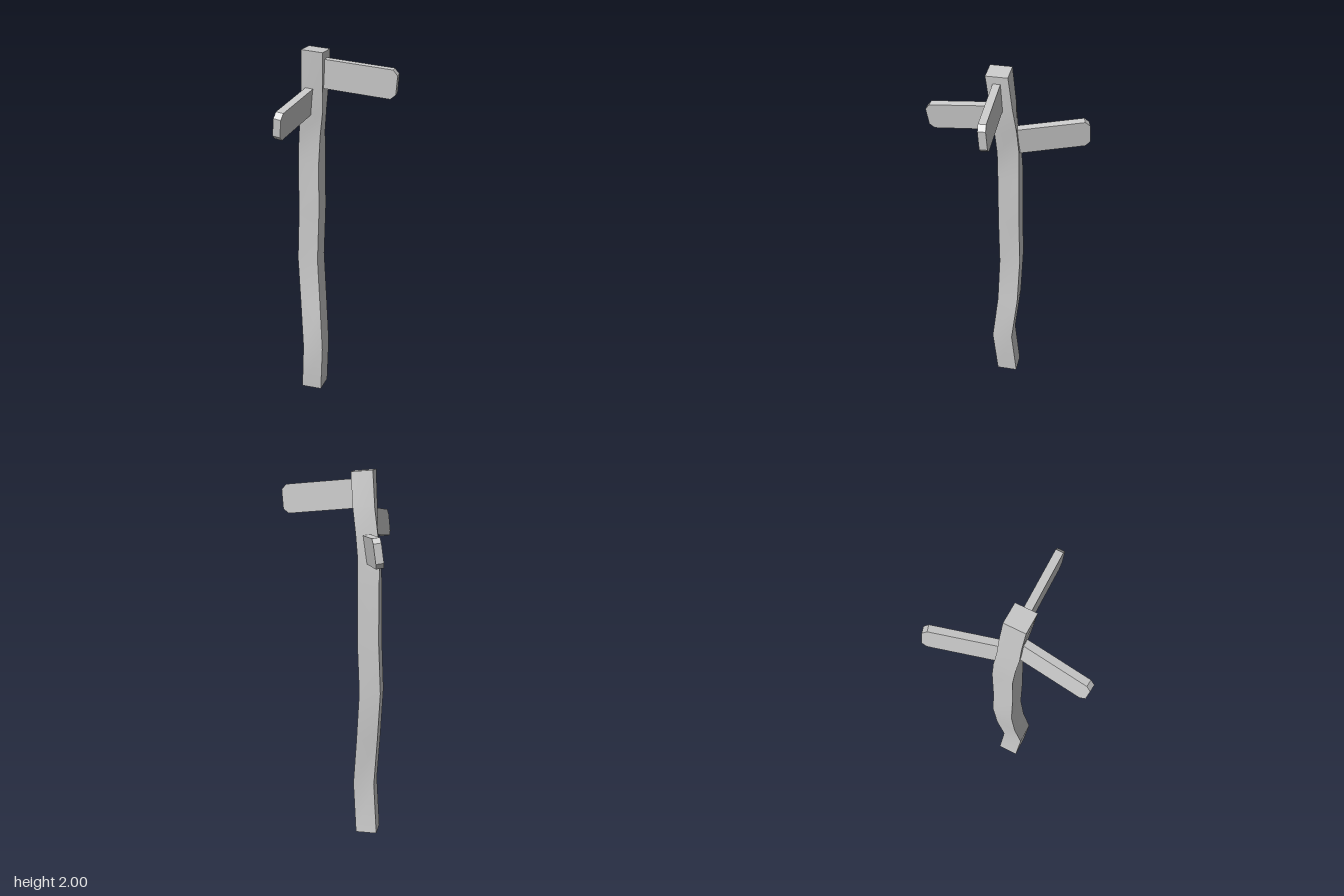
import * as THREE from 'three';

const material = new THREE.MeshStandardMaterial({ color: 0xcccccc });

// Centre line of the crooked post: height, x, z, twist
const rings = [
  [0, -0.173, -0.017, 0],
  [0.28, -0.152, 0.01, 0],
  [0.55, -0.173, -0.017, 0],
  [0.82, -0.188, -0.025, 0],
  [1.1, -0.175, -0.02, 0],
  [1.38, -0.173, -0.017, 0],
  [1.54, -0.168, -0.01, 0.1],
  [1.67, -0.152, 0.003, 0.14],
  [1.81, -0.139, 0.017, 0.03],
  [2, -0.126, 0.037, 0],
];

function makePost() {
  const n = rings.length - 1;
  const geometry = new THREE.BoxGeometry(0.115, 1, 0.115, 1, n, 1);
  const p = geometry.attributes.position;
  for (let i = 0; i < p.count; i++) {
    const [y, cx, cz, twist] = rings[Math.round((p.getY(i) + 0.5) * n)];
    const x = p.getX(i), z = p.getZ(i);
    const c = Math.cos(twist), s = Math.sin(twist);
    // the top is cut at a slight slope
    const slope = y === 2 ? -0.08 * (x + 0.0575) : 0;
    p.setXYZ(i, cx + x * c + z * s, y + slope, cz - x * s + z * c);
  }
  geometry.computeVertexNormals();
  const post = new THREE.Mesh(geometry, material);
  post.name = 'post';
  return post;
}

// Plank running along its own x from the post, with clipped outer corners
function makeBoard(name, length, height, start, yaw, pitch, roll) {
  const h = height / 2, cut = 0.026, thick = 0.04;
  const shape = new THREE.Shape([
    new THREE.Vector2(0, -h),
    new THREE.Vector2(length - cut, -h),
    new THREE.Vector2(length, -h + cut),
    new THREE.Vector2(length, h - cut),
    new THREE.Vector2(length - cut, h),
    new THREE.Vector2(0, h),
  ]);
  const geometry = new THREE.ExtrudeGeometry(shape, { depth: thick, bevelEnabled: false });
  geometry.translate(0, 0, -thick / 2);
  const board = new THREE.Mesh(geometry, material);
  board.name = name;
  board.position.set(...start);
  board.rotation.set(roll, yaw, pitch, 'YZX');
  return board;
}

export function createModel() {
  const group = new THREE.Group();
  group.name = 'signpost';
  const q = Math.PI / 2;
  group.add(
    makePost(),
    makeBoard('leftBoard', 0.435, 0.153, [-0.13, 1.88, 0.034], 0.025, -0.09, 0.06),
    makeBoard('frontBoard', 0.405, 0.145, [-0.157, 1.733, 0.03], -q - 0.085, -0.13, -0.14),
    makeBoard('backBoard', 0.426, 0.15, [-0.158, 1.592, -0.01], q + 0.288, 0.085, 0.13),
  );
  return group;
}
